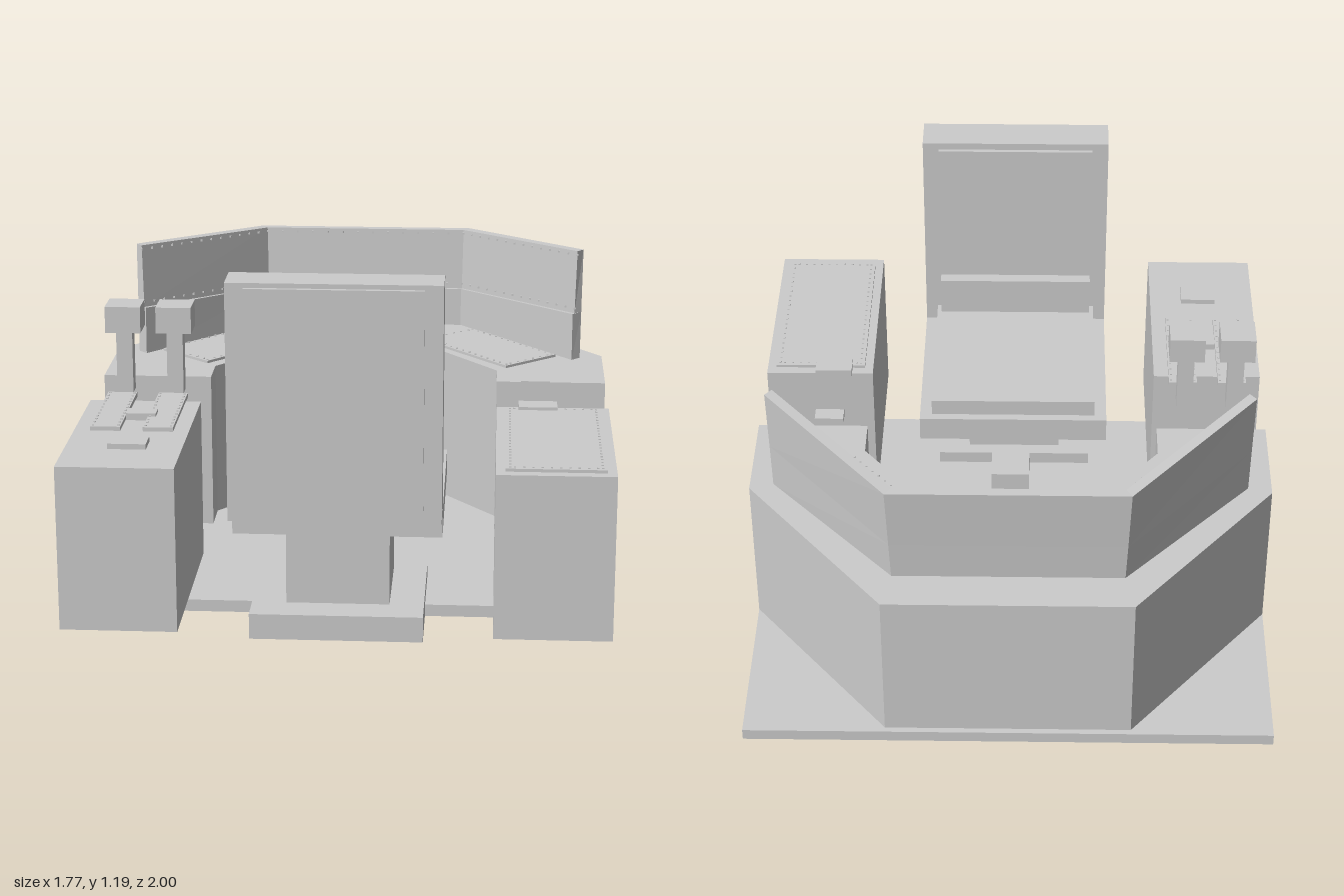
import * as THREE from 'three';

const mat = new THREE.MeshStandardMaterial({ color: 0xcccccc, flatShading: true });

export function createModel() {
  const root = new THREE.Group();

  const add = (name, geometry) => {
    const mesh = new THREE.Mesh(geometry, mat);
    mesh.name = name;
    root.add(mesh);
    return mesh;
  };

  // Axis-aligned box given by its limits
  const box = (name, x0, x1, y0, y1, z0, z1) => {
    const mesh = add(name, new THREE.BoxGeometry(x1 - x0, y1 - y0, z1 - z0));
    mesh.position.set((x0 + x1) / 2, (y0 + y1) / 2, (z0 + z1) / 2);
    return mesh;
  };

  // Six-sided slab between two loops of four points, anticlockwise from above
  const slab = (name, bottom, top) => {
    const pos = [];
    const quad = (a, b, c, d) => pos.push(...a, ...b, ...c, ...a, ...c, ...d);
    quad(...top);
    quad(...[...bottom].reverse());
    for (let i = 0; i < 4; i++) {
      const j = (i + 1) % 4;
      quad(bottom[i], bottom[j], top[j], top[i]);
    }
    const g = new THREE.BufferGeometry();
    g.setAttribute('position', new THREE.Float32BufferAttribute(pos, 3));
    g.computeVertexNormals();
    return add(name, g);
  };

  // Row of small rivets between two points
  const rivets = (a, b, n) => {
    const p = new THREE.Vector3(...a), q = new THREE.Vector3(...b);
    for (let i = 0; i < n; i++) {
      add('rivet', new THREE.BoxGeometry(0.007, 0.007, 0.007))
        .position.lerpVectors(p, q, n > 1 ? i / (n - 1) : 0);
    }
  };

  box('floor', -0.885, 0.885, 0, 0.04, -1, 0.7);

  // Wrap-around desk
  const half = [[0.885, -0.05], [0.885, -0.4], [0.41, -0.98]];
  const inner = [[0.27, -0.48], [0.505, -0.19], [0.505, -0.05]];
  const mirror = (pts) => pts.map(([x, z]) => [-x, z]).reverse();
  const outline = [...half, ...mirror(half), ...mirror(inner), ...inner];
  const deskShape = new THREE.Shape(outline.map(([x, z]) => new THREE.Vector2(x, -z)));
  const desk = add('desk', new THREE.ExtrudeGeometry(deskShape, { depth: 0.55, bevelEnabled: false }));
  desk.rotation.x = -Math.PI / 2;
  desk.position.y = 0.04;

  // Display wall: three bays, a thicker lower row and a leaning upper row
  const ring = (iz, ix, ez, ex, oz, ox, fz, fx, yc, ye) => ({
    centre: [[-ix, yc, iz], [ix, yc, iz], [ox, yc, oz], [-ox, yc, oz]],
    right: [[ix, yc, iz], [ex, ye, ez], [fx, ye, fz], [ox, yc, oz]],
    left: [[-ex, ye, ez], [-ix, yc, iz], [-ox, yc, oz], [-fx, ye, fz]],
  });
  const low0 = ring(-0.81, 0.365, -0.345, 0.775, -0.84, 0.38, -0.375, 0.805, 0.585, 0.585);
  const low1 = ring(-0.815, 0.365, -0.35, 0.775, -0.85, 0.385, -0.385, 0.807, 0.73, 0.76);
  const up0 = ring(-0.825, 0.368, -0.362, 0.782, -0.85, 0.385, -0.385, 0.807, 0.73, 0.76);
  const up1 = ring(-0.835, 0.372, -0.372, 0.788, -0.868, 0.392, -0.4, 0.81, 0.955, 0.988);
  for (const bay of ['centre', 'right', 'left']) {
    slab(bay + 'LowerDisplay', low0[bay], low1[bay]);
    slab(bay + 'UpperDisplay', up0[bay], up1[bay]);
    const [a, b] = up0[bay], [c, d] = up1[bay];
    const mix = (p, q, t) => p.map((v, i) => v + (q[i] - v) * t);
    rivets(mix(a, c, 0.94), mix(b, d, 0.94), 14);
    rivets(mix(a, c, 0.08), mix(b, d, 0.08), 14);
  }

  // Sloping centre instrument panel
  slab('centrePanel',
    [[-0.235, 0.585, -0.475], [0.235, 0.585, -0.475], [0.235, 0.655, -0.705], [-0.235, 0.655, -0.705]],
    [[-0.235, 0.605, -0.475], [0.235, 0.605, -0.475], [0.235, 0.69, -0.705], [-0.235, 0.69, -0.705]]);

  // Thin plates on the desk wings
  for (const s of [-1, 1]) {
    const wing = add('wingPanel', new THREE.BoxGeometry(0.46, 0.01, 0.24));
    wing.position.set(s * 0.475, 0.594, -0.475);
    wing.rotation.y = -s * 0.845;
    const at = (u, v) => [s * (0.475 + 0.664 * u - 0.748 * v), 0.6, -0.475 + 0.748 * u + 0.664 * v];
    for (const v of [-0.11, 0.11]) rivets(at(-0.22, v), at(0.22, v), 14);
    for (const u of [-0.22, 0.22]) rivets(at(u, -0.09), at(u, 0.09), 6);
  }
  box('deskSwitch', 0.59, 0.69, 0.59, 0.612, -0.04, 0.015);

  // Side consoles
  for (const s of [-1, 1]) {
    box('sideConsole', s < 0 ? -0.885 : 0.505, s < 0 ? -0.505 : 0.885, 0.04, 0.59, 0.255, 0.985);
  }
  box('consolePlate', 0.535, 0.855, 0.588, 0.6, 0.29, 0.95);
  for (const x of [0.55, 0.84]) rivets([x, 0.6, 0.305], [x, 0.6, 0.935], 22);
  for (const z of [0.305, 0.935]) rivets([0.565, 0.6, z], [0.825, 0.6, z], 10);
  box('consoleLatch', 0.58, 0.71, 0.585, 0.61, 0.245, 0.32);

  // Twin throttle levers with their guide plates
  for (const x of [-0.782, -0.607]) {
    box('throttleGuide', x - 0.05, x + 0.05, 0.588, 0.604, 0.2, 0.6);
    box('throttleStem', x - 0.028, x + 0.028, 0.585, 0.805, 0.083, 0.138);
    box('throttleGrip', x - 0.061, x + 0.061, 0.805, 0.897, 0.05, 0.166);
    for (const dx of [-0.042, 0.042]) rivets([x + dx, 0.604, 0.215], [x + dx, 0.604, 0.585], 12);
  }
  box('consoleKnob', -0.73, -0.63, 0.59, 0.614, 0.42, 0.48);
  box('consoleSwitch', -0.745, -0.62, 0.59, 0.608, 0.71, 0.795);

  // Centre control stick on its pedestal
  box('stickPedestal', -0.105, 0.105, 0.04, 0.42, -0.485, -0.28);
  box('stickPedestalCap', -0.142, 0.142, 0.415, 0.45, -0.525, -0.245);
  box('stickPlate', -0.083, 0.083, 0.45, 0.47, -0.468, -0.303);
  box('stickStem', -0.042, 0.042, 0.47, 0.615, -0.427, -0.343);
  box('stickGrip', -0.063, 0.063, 0.612, 0.7, -0.448, -0.322);

  // Seat
  box('seatBase', -0.28, 0.28, 0, 0.085, 0.44, 0.93);
  box('seatPost', -0.168, 0.168, 0.085, 0.33, 0.49, 0.82);
  box('seatPan', -0.338, 0.338, 0.33, 0.42, 0.212, 0.85);
  box('seatCushion', -0.295, 0.295, 0.42, 0.48, 0.242, 0.845);
  box('seatBack', -0.338, 0.338, 0.42, 1.195, 0.847, 0.985);
  box('seatBackPad', -0.28, 0.28, 0.63, 1.17, 0.832, 0.85);
  box('lumbarPad', -0.28, 0.28, 0.48, 0.62, 0.803, 0.85);
  box('seatBackCover', -0.28, 0.28, 0.47, 1.18, 0.985, 1);

  return root;
}
